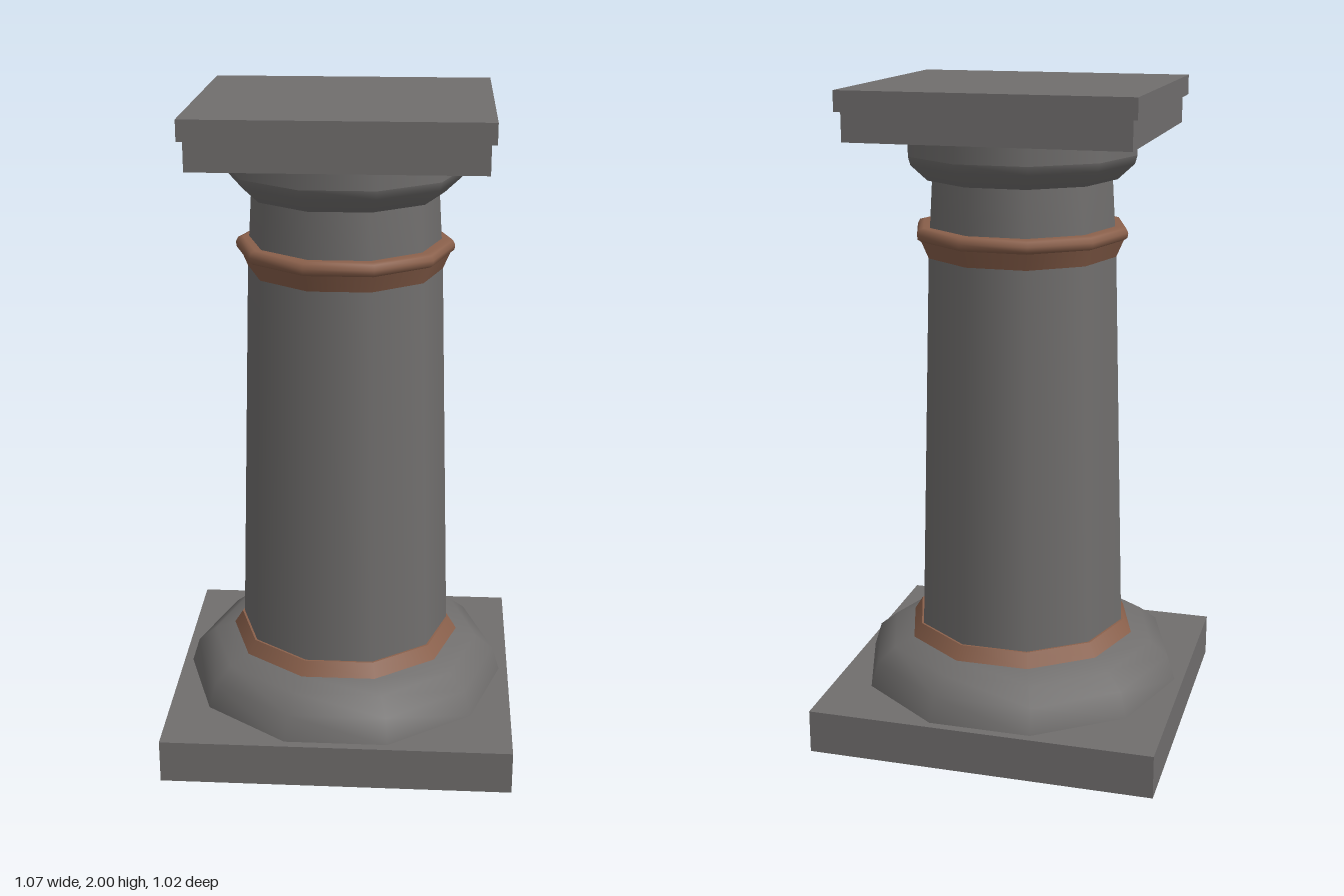
import * as THREE from 'three';

export function createModel() {
  const model = new THREE.Group();
  model.name = 'column';

  const stone = new THREE.MeshStandardMaterial({ color: 0x706e6d });
  stone.name = 'grey stone';
  const copper = new THREE.MeshStandardMaterial({ color: 0x8a604b });
  copper.name = 'copper';

  function slab(name, width, depth, bottom, top) {
    const mesh = new THREE.Mesh(new THREE.BoxGeometry(width, top - bottom, depth), stone);
    mesh.position.y = (bottom + top) / 2;
    mesh.name = name;
    model.add(mesh);
  }

  // Ten-sided turned part; each profile is [radius, height] from bottom to top,
  // smooth within itself and creased against the next one.
  function turned(name, material, ...profiles) {
    const part = new THREE.Group();
    part.name = name;
    profiles.forEach((profile, i) => {
      const points = profile.map(([r, y]) => new THREE.Vector2(r, y));
      const mesh = new THREE.Mesh(new THREE.LatheGeometry(points, 10, Math.PI / 2), material);
      mesh.name = `${name}Surface${i + 1}`;
      part.add(mesh);
    });
    model.add(part);
  }

  // Square foot
  slab('plinth', 1.07, 1.02, 0, 0.135);

  // Rounded base and its collar
  turned('baseMoulding', stone, [[0.508, 0.134], [0.484, 0.212], [0.427, 0.258], [0.363, 0.282]]);
  turned('lowerCollar', copper, [[0.363, 0.282], [0.337, 0.324]], [[0.337, 0.324], [0.32, 0.324]]);

  // Tapered shaft running up into the capital
  turned('shaft', stone, [[0.331, 0.3], [0.294, 1.496], [0.279, 1.74]]);

  // Flared collar with a bead on top
  turned('upperCollar', copper,
    [[0.294, 1.494], [0.303, 1.515], [0.316, 1.545]],
    [[0.316, 1.545], [0.327, 1.552], [0.329, 1.567], [0.322, 1.581], [0.308, 1.585], [0.28, 1.585]]);

  // Capital
  turned('capital', stone,
    [[0.27, 1.725], [0.294, 1.725]],
    [[0.294, 1.725], [0.345, 1.772], [0.352, 1.797]],
    [[0.352, 1.797], [0.352, 1.857]]);

  // Square top in two steps
  slab('lowerAbacus', 0.83, 0.79, 1.855, 1.94);
  slab('upperAbacus', 0.86, 0.82, 1.94, 2);

  return model;
}
